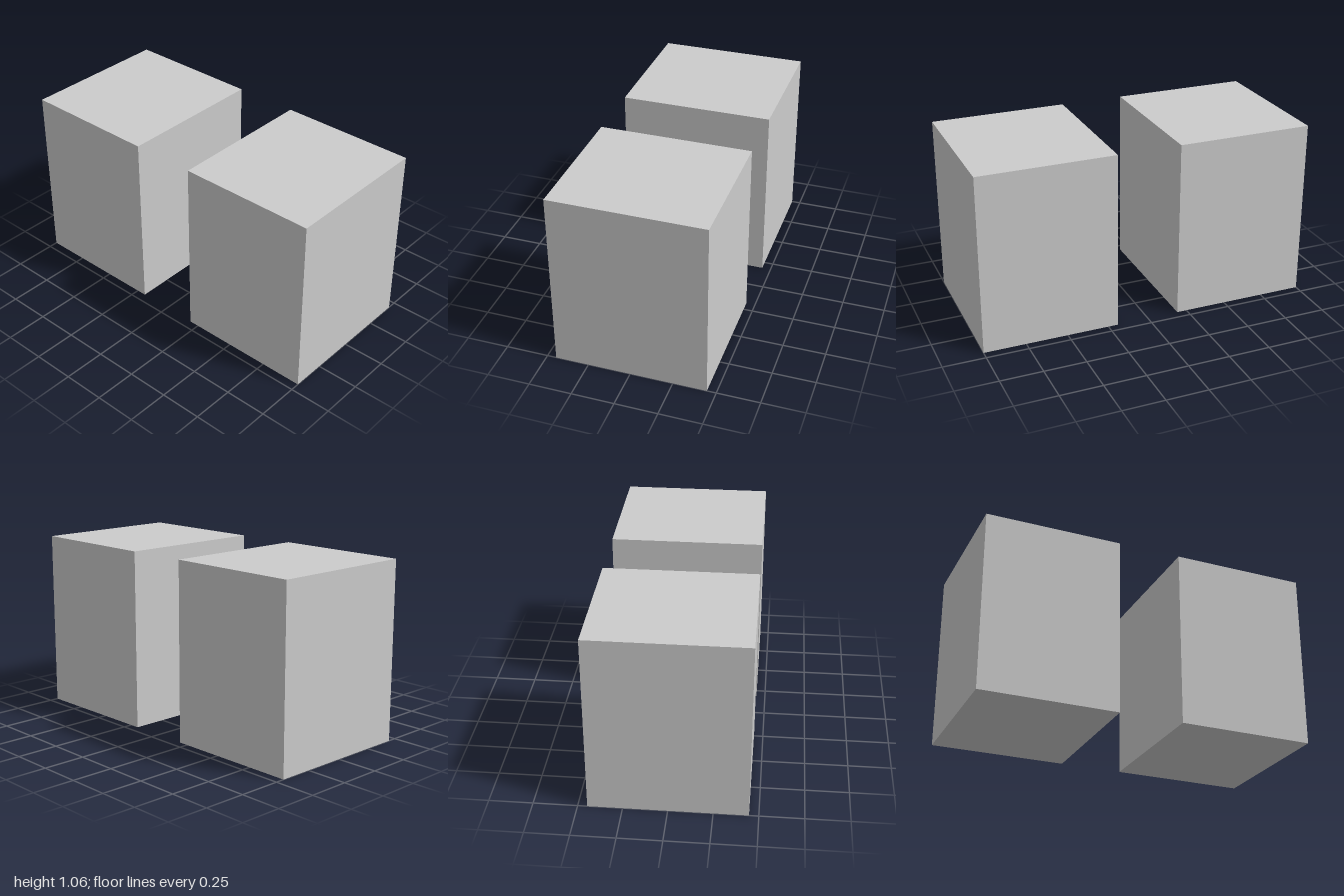
import * as THREE from 'three';

const WIDTH = 0.81, HEIGHT = 1.064, DEPTH = 0.893;

export function createModel() {
  const model = new THREE.Group();
  model.name = 'blockPair';
  const material = new THREE.MeshStandardMaterial({ color: 0xcccccc });
  const geometry = new THREE.BoxGeometry(WIDTH, HEIGHT, DEPTH);

  // Two matching upright blocks, mirrored about x = 0
  for (const [name, side] of [['leftBlock', 1], ['rightBlock', -1]]) {
    const block = new THREE.Mesh(geometry, material);
    block.name = name;
    block.position.set(side * (1 - WIDTH / 2), HEIGHT / 2, 0);
    model.add(block);
  }
  return model;
}
